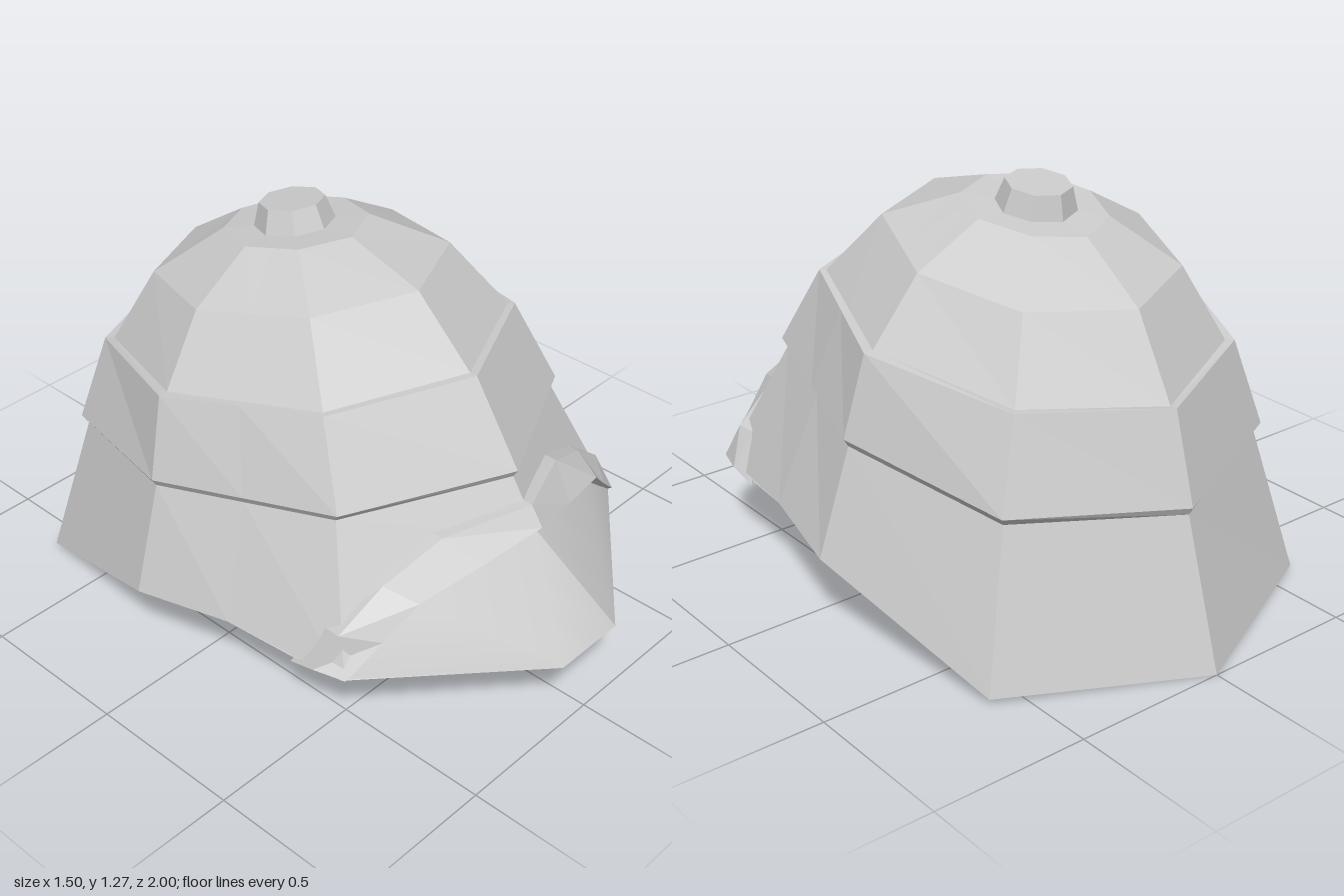
import * as THREE from 'three';

const material = new THREE.MeshStandardMaterial({ color: 0xcccccc, flatShading: true, side: THREE.DoubleSide });
const smoothMaterial = new THREE.MeshStandardMaterial({ color: 0xcccccc, side: THREE.DoubleSide });

// Skins a series of equal-length point rows; closed rows wrap around.
function loft(name, rows, closed, surface = material) {
  const n = rows[0].length;
  const index = [];
  for (let i = 0; i < rows.length - 1; i++) {
    for (let j = 0; j < (closed ? n : n - 1); j++) {
      const k = (j + 1) % n;
      const a = i * n + j, b = i * n + k, c = (i + 1) * n + k, d = (i + 1) * n + j;
      index.push(a, d, c, a, c, b);
    }
  }
  const geometry = new THREE.BufferGeometry();
  geometry.setAttribute('position', new THREE.Float32BufferAttribute(rows.flat(2), 3));
  geometry.setIndex(index);
  geometry.computeVertexNormals();
  const mesh = new THREE.Mesh(geometry, surface);
  mesh.name = name;
  return mesh;
}

const flip = ([x, y, z]) => [-x, y, z];
const mix = (a, b, t) => a.map((v, i) => v + (b[i] - v) * t);

// Half ring (back, back corner, side, [side mid], front corner, front) to a full ring.
function ring(half) {
  const h = half.length === 6 ? half : [...half.slice(0, 3), mix(half[2], half[3], 0.5), ...half.slice(3)];
  return [...h, ...h.slice(1, -1).reverse().map(flip)];
}

// Half outline from the back centre to a front corner, mirrored to a full loop.
const outline = (half) => [...half, ...half.slice(1).reverse().map(flip)];

// Half chain from the centre outwards to a full right-to-left chain.
const chain = (half, sharedCentre = true) =>
  [...half.slice(sharedCentre ? 1 : 0).reverse().map(flip), ...half];

export function createModel() {
  const helmet = new THREE.Group();
  helmet.name = 'helmet';

  // Ring profiles, from the rim up
  const rim = ring([[0, 0, -1], [0.6, 0.02, -0.72], [0.75, 0.25, -0.12], [0.685, 0.28, 0.2], [0.62, 0.26, 0.605], [0, 0.53, 0.785]]);
  const wallTop = ring([[0, 0.455, -0.86], [0.485, 0.49, -0.635], [0.645, 0.585, -0.13], [0.48, 0.665, 0.44], [0, 0.685, 0.685]]);
  const bandLow = ring([[0, 0.48, -0.875], [0.5, 0.515, -0.65], [0.66, 0.61, -0.13], [0.49, 0.69, 0.455], [0, 0.71, 0.7]]);
  const bandHigh = ring([[0, 0.757, -0.795], [0.42, 0.79, -0.6], [0.595, 0.865, -0.15], [0.42, 0.935, 0.335], [0, 0.96, 0.535]]);
  const crownLow = ring([[0, 0.755, -0.77], [0.4, 0.79, -0.58], [0.565, 0.867, -0.15], [0.405, 0.935, 0.32], [0, 0.96, 0.51]]);
  const crownMid = ring([[0, 1.0, -0.63], [0.3, 1.02, -0.49], [0.42, 1.07, -0.17], [0.3, 1.13, 0.17], [0, 1.147, 0.31]]);
  const crownTop = ring([[0, 1.15, -0.41], [0.145, 1.165, -0.34], [0.21, 1.188, -0.18], [0.15, 1.215, -0.02], [0, 1.223, 0.05]]);
  const apex = crownTop.map(() => [0, 1.188, -0.18]);

  helmet.add(
    loft('lowerShell', [rim, wallTop], true),
    loft('middleBand', [wallTop, bandLow, bandHigh, crownLow], true),
    loft('crown', [crownLow, crownMid, crownTop, apex], true)
  );

  // Conical hollow inside and the flat underside of the rim and visor
  const visorCorner = [0.125, 0.23, 1];
  const visorEnd = [0.625, 0.262, 0.6];
  const innerRim = outline([[0, 0.02, -0.9], [0.52, 0.035, -0.63], [0.67, 0.255, -0.12], [0.62, 0.285, 0.18],
    [0.59, 0.262, 0.41], [0.56, 0.255, 0.5], [0.11, 0.205, 0.89]]);
  const outerRim = outline([[0, 0, -1], [0.6, 0.02, -0.72], [0.75, 0.25, -0.12], [0.685, 0.28, 0.2],
    [0.65, 0.262, 0.42], visorEnd, visorCorner]);
  helmet.add(
    loft('innerShell', [innerRim.map(() => [0, 1.15, -0.15]), innerRim], true),
    loft('rimUnderside', [innerRim, outerRim], true)
  );

  // Front visor fanning out from a peak under the trim
  helmet.add(loft('visor', [
    chain([[0, 0.54, 0.78], [0.4, 0.44, 0.67], [0.62, 0.265, 0.6]], false),
    chain([visorCorner, visorCorner, visorEnd], false)
  ], false, smoothMaterial));

  // Raised trim arching over the visor
  const trim = [
    [[0, 0.622, 0.7], [0.26, 0.585, 0.58], [0.45, 0.495, 0.54], [0.59, 0.38, 0.5], [0.648, 0.24, 0.42]],
    [[0, 0.62, 0.758], [0.26, 0.585, 0.645], [0.45, 0.495, 0.592], [0.597, 0.385, 0.56], [0.655, 0.27, 0.515]],
    [[0, 0.56, 0.8], [0.2, 0.512, 0.75], [0.41, 0.465, 0.695], [0.515, 0.365, 0.655], [0.625, 0.268, 0.615]],
    [[0, 0.535, 0.775], [0.2, 0.488, 0.725], [0.4, 0.435, 0.665], [0.5, 0.345, 0.625], [0.6, 0.25, 0.58]]
  ];
  helmet.add(loft('visorTrim', [...trim, trim[0]].map((h) => chain(h)), false));
  const [a, b, c, d] = trim.map((h) => h[4]);
  helmet.add(
    loft('trimEndLeft', [[a, b], [d, c]], false),
    loft('trimEndRight', [[flip(b), flip(a)], [flip(c), flip(d)]], false)
  );

  // Small vent cap on the crown
  const cap = new THREE.Mesh(new THREE.CylinderGeometry(0.1, 0.128, 0.09, 8), material);
  cap.name = 'ventCap';
  cap.position.set(0, 1.215, -0.187);
  cap.rotation.x = -0.15;
  helmet.add(cap);

  return helmet;
}
